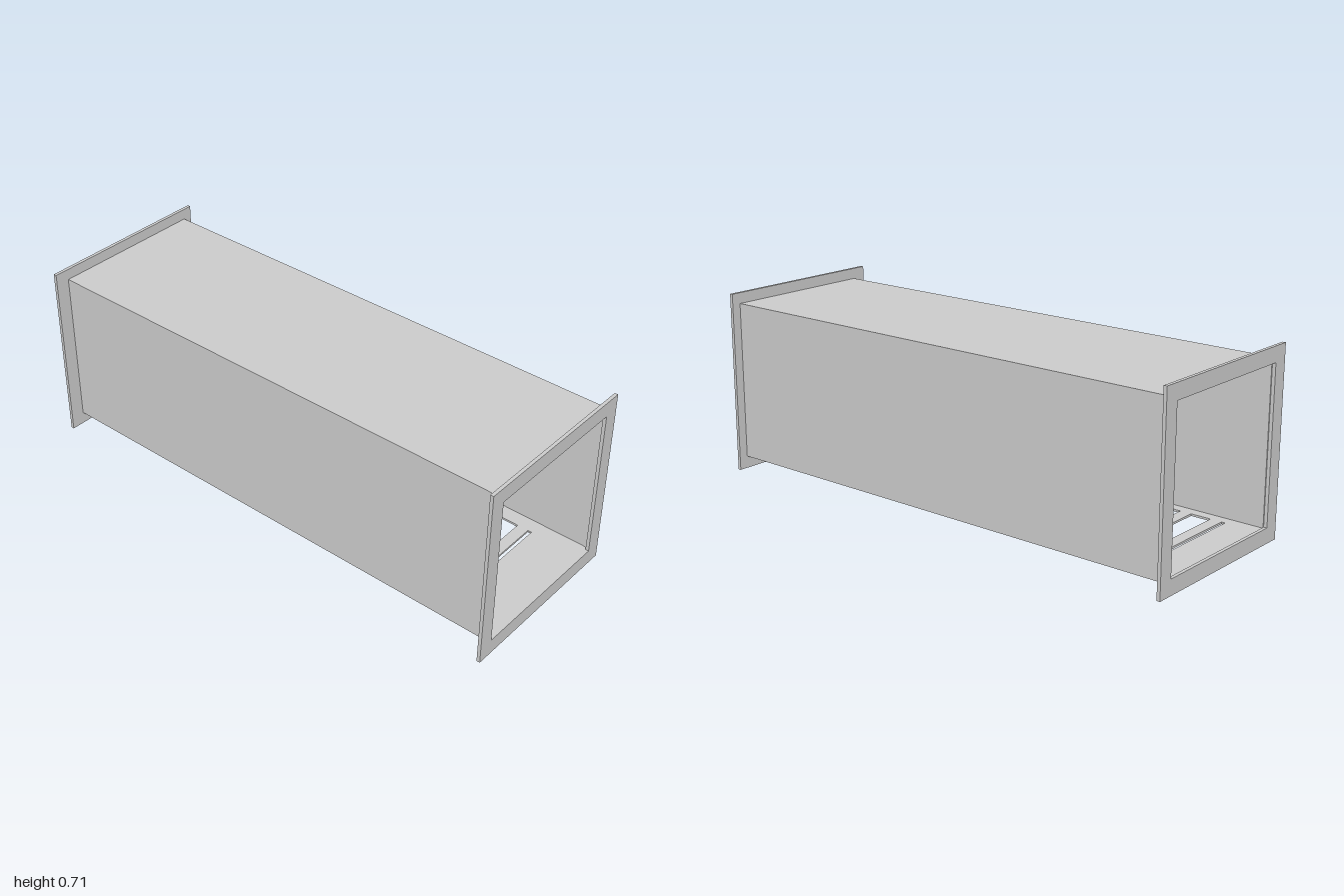
import * as THREE from 'three';

const material = new THREE.MeshStandardMaterial({ color: 0xcccccc });

// Rectangle outline between two corners
function rect(PathType, x0, y0, x1, y1) {
  const p = new PathType();
  p.moveTo(x0, y0);
  p.lineTo(x1, y0);
  p.lineTo(x1, y1);
  p.lineTo(x0, y1);
  p.closePath();
  return p;
}

function add(group, name, geometry) {
  const mesh = new THREE.Mesh(geometry, material);
  mesh.name = name;
  group.add(mesh);
  return mesh;
}

export function createModel() {
  const model = new THREE.Group();
  model.name = 'ventilationDuct';

  const end = 0.987, flangeThick = 0.013, wall = 0.008;
  const y0 = 0.048, y1 = 0.664, z0 = -0.317, z1 = 0.298;
  const midY = (y0 + y1) / 2, midZ = (z0 + z1) / 2;

  // Roof and side walls of the duct
  add(model, 'roof', new THREE.BoxGeometry(2 * end, wall, z1 - z0))
    .position.set(0, y1 - wall / 2, midZ);
  for (const [name, z] of [['frontWall', z1 - wall / 2], ['backWall', z0 + wall / 2]]) {
    add(model, name, new THREE.BoxGeometry(2 * end, y1 - y0 - 2 * wall, wall))
      .position.set(0, midY, z);
  }

  // Floor with two grilles: wide slots between five bars, a thin slit at each end
  const floor = rect(THREE.Shape, -end, -z1, end, -z0);
  const slit = 0.015, bar = 0.045, gap = 0.08;
  for (const start of [-0.86, 0.212]) {
    let x = start;
    for (const width of [slit, gap, gap, gap, gap, slit]) {
      floor.holes.push(rect(THREE.Path, x, -0.25, x + width, 0.25));
      x += width + bar;
    }
  }
  const floorGeometry = new THREE.ExtrudeGeometry(floor, { depth: wall, bevelEnabled: false });
  floorGeometry.rotateX(-Math.PI / 2);
  add(model, 'grilleFloor', floorGeometry).position.y = y0;

  // Square flange at each end
  const half = 0.353, open = 0.294;
  const frame = rect(THREE.Shape, -half, -half, half, half);
  frame.holes.push(rect(THREE.Path, -open, -open, open, open));
  const flangeGeometry = new THREE.ExtrudeGeometry(frame, { depth: flangeThick, bevelEnabled: false });
  flangeGeometry.rotateY(Math.PI / 2);
  add(model, 'leftFlange', flangeGeometry).position.set(end, half, 0);
  add(model, 'rightFlange', flangeGeometry).position.set(-1, half, 0);

  return model;
}
